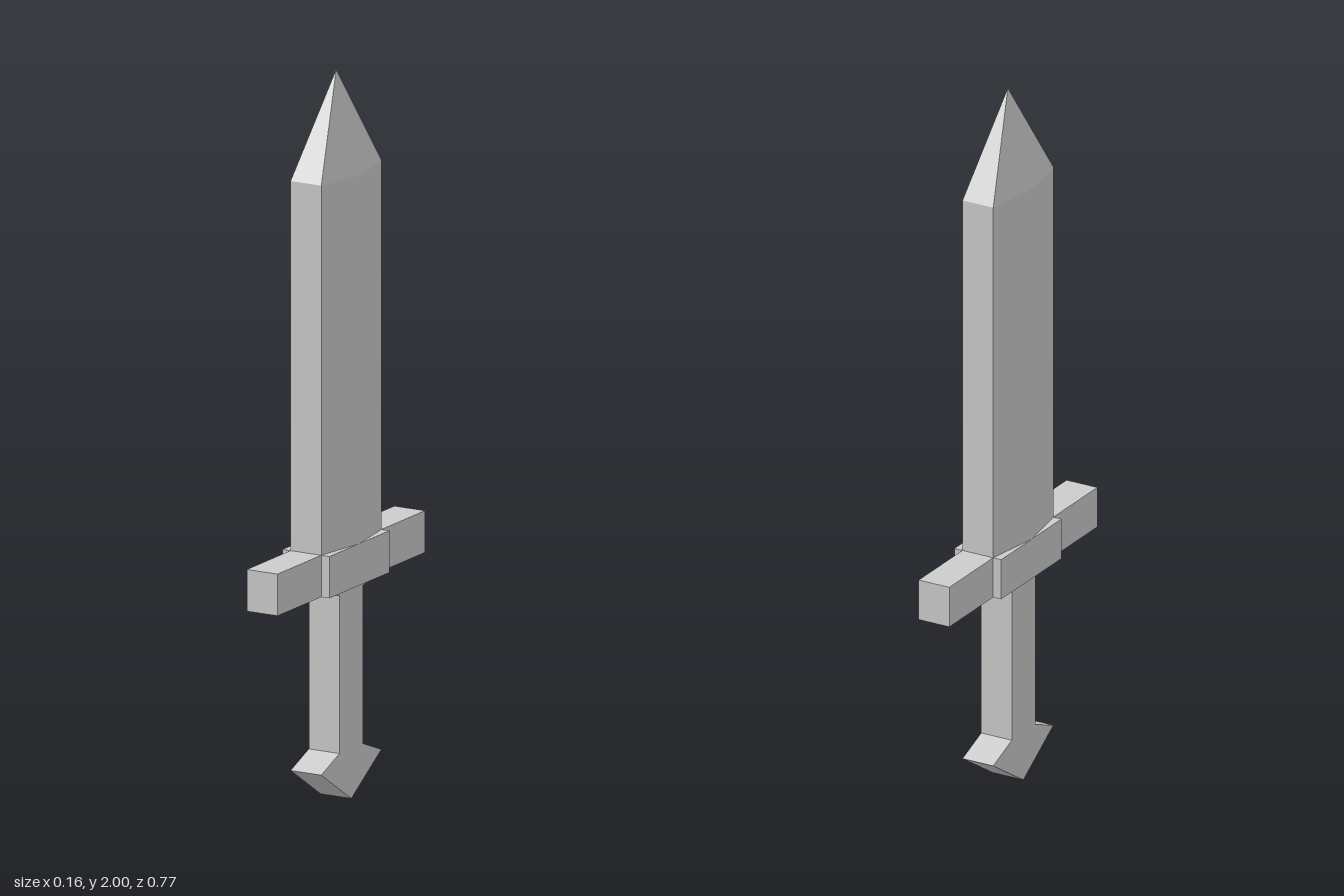
import * as THREE from 'three';

const material = new THREE.MeshStandardMaterial({ color: 0xcccccc, flatShading: true });

// Shared thickness of the guard, the grip and the blade edges
const X0 = -0.055, X1 = 0.04;
const HALF = 0.157; // half width of the blade

function addMesh(group, name, geometry) {
  const mesh = new THREE.Mesh(geometry, material);
  mesh.name = name;
  group.add(mesh);
}

function box(x0, x1, y0, y1, z0, z1) {
  return new THREE.BoxGeometry(x1 - x0, y1 - y0, z1 - z0)
    .translate((x0 + x1) / 2, (y0 + y1) / 2, (z0 + z1) / 2);
}

// Six-sided blade section, counter-clockwise from above
function bladeRing(y, ridge) {
  return [[ridge, 0], [X1, -HALF], [X0, -HALF], [-0.08, 0], [X0, HALF], [X1, HALF]]
    .map(([x, z]) => [x, y, z]);
}

// Straight hexagonal blade closing to a point
function bladeGeometry() {
  const low = bladeRing(0.7, 0.065);
  const high = bladeRing(1.722, 0.078);
  const tip = [-0.007, 2, 0];
  const positions = [];
  for (let i = 0; i < 6; i++) {
    const j = (i + 1) % 6;
    positions.push(...low[i], ...low[j], ...high[j]);
    positions.push(...low[i], ...high[j], ...high[i]);
    positions.push(...high[i], ...high[j], ...tip);
  }
  const geometry = new THREE.BufferGeometry();
  geometry.setAttribute('position', new THREE.Float32BufferAttribute(positions, 3));
  geometry.computeVertexNormals();
  return geometry;
}

// Extrudes a (z, y) outline across the thickness
function sideProfile(points) {
  const shape = new THREE.Shape(points.map(([z, y]) => new THREE.Vector2(z, y)));
  return new THREE.ExtrudeGeometry(shape, { depth: X1 - X0, bevelEnabled: false })
    .rotateY(-Math.PI / 2)
    .translate(X1, 0, 0);
}

export function createModel() {
  const sword = new THREE.Group();
  sword.name = 'sword';

  addMesh(sword, 'blade', bladeGeometry());

  // Crossguard: thicker centre block with a slimmer arm on each side
  addMesh(sword, 'guardCentre', box(-0.08, 0.065, 0.59, 0.705, -HALF, HALF));
  addMesh(sword, 'frontGuardArm', box(X0, X1, 0.59, 0.705, HALF, 0.385));
  addMesh(sword, 'backGuardArm', box(X0, X1, 0.59, 0.705, -0.385, -HALF));

  // Grip, flared under the guard
  addMesh(sword, 'grip', sideProfile([
    [-0.06, 0.138], [0.062, 0.138], [0.062, 0.573], [HALF, 0.59], [-HALF, 0.59], [-0.06, 0.573],
  ]));

  // Arrow-shaped pommel
  addMesh(sword, 'pommel', sideProfile([
    [0, 0], [HALF, 0.1], [0.062, 0.138], [-0.06, 0.138], [-HALF, 0.1],
  ].reverse()));

  return sword;
}
